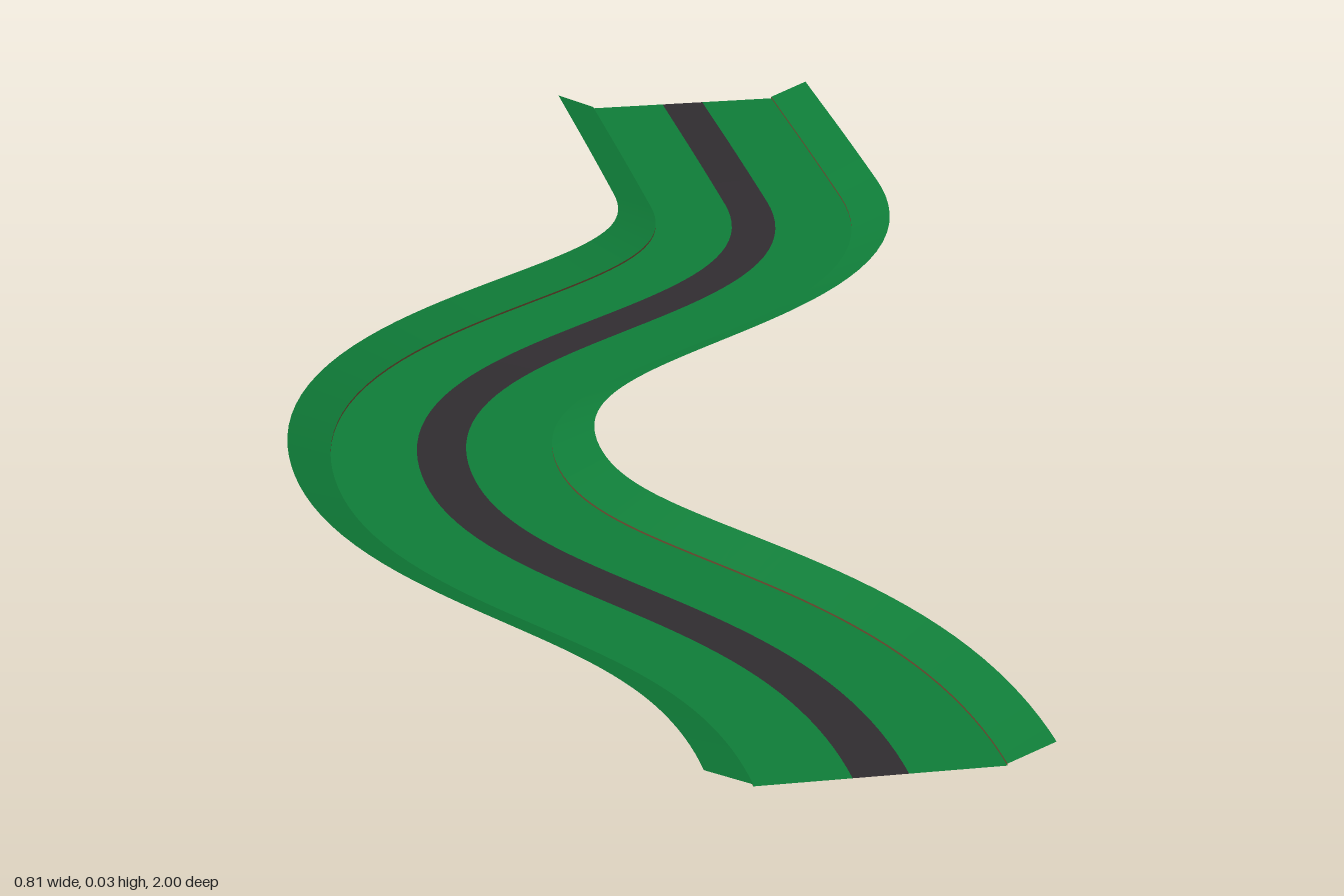
import * as THREE from 'three';

const mat = (name, color) => {
  const m = new THREE.MeshStandardMaterial({ color, side: THREE.DoubleSide });
  m.name = name;
  return m;
};

// Centre line: straight run, then two bends (x, 0, z)
function makePath() {
  const v = (x, z) => new THREE.Vector3(x, 0, z);
  const path = new THREE.CurvePath();
  path.add(new THREE.LineCurve3(v(0.24, -1), v(0.24, -0.6)));
  path.add(new THREE.CubicBezierCurve3(v(0.24, -0.6), v(0.24, -0.2), v(-0.243, -0.25), v(-0.243, 0.19)));
  path.add(new THREE.CubicBezierCurve3(v(-0.243, 0.19), v(-0.243, 0.52), v(0.03, 0.6), v(0.03, 1)));
  return path;
}

// Gentle dip around the middle of the run
const dip = (z) => 0.011 * THREE.MathUtils.smoothstep(Math.abs(z), 0, 0.85);

// Sweep a band between two section points [offset, height] along the path
function band(path, a, b, steps = 100) {
  const pos = [], idx = [];
  for (let i = 0; i <= steps; i++) {
    const p = path.getPoint(i / steps), t = path.getTangent(i / steps);
    for (const [off, h] of [a, b]) {
      pos.push(p.x + t.z * off, dip(p.z) + h, p.z - t.x * off);
    }
    if (i < steps) {
      const k = i * 2;
      idx.push(k, k + 2, k + 1, k + 1, k + 2, k + 3);
    }
  }
  const g = new THREE.BufferGeometry();
  g.setAttribute('position', new THREE.Float32BufferAttribute(pos, 3));
  g.setIndex(idx);
  g.computeVertexNormals();
  return g;
}

export function createModel() {
  const group = new THREE.Group();
  group.name = 'windingTrack';
  const green = mat('green', 0x0f7c38);
  const dark = mat('charcoal', 0x302c30);
  const brown = mat('brown', 0x6b4a30);
  const path = makePath();

  const add = (name, material, a, b) => {
    const m = new THREE.Mesh(band(path, a, b), material);
    m.name = name;
    group.add(m);
  };

  // Section from one rim to the other: bank, seam, bed, centre strip, bed, seam, bank
  const rim = 0.162, foot = 0.117, strip = 0.026;
  add('rightBank', green, [-rim, 0.02], [-foot, 0.002]);
  add('rightSeam', brown, [-foot, 0.002], [-foot, 0]);
  add('rightBed', green, [-foot, 0], [-strip, 0]);
  add('centreStrip', dark, [-strip, 0], [strip, 0]);
  add('leftBed', green, [strip, 0], [foot, 0]);
  add('leftSeam', brown, [foot, 0], [foot, 0.002]);
  add('leftBank', green, [foot, 0.002], [rim, 0.02]);
  return group;
}
